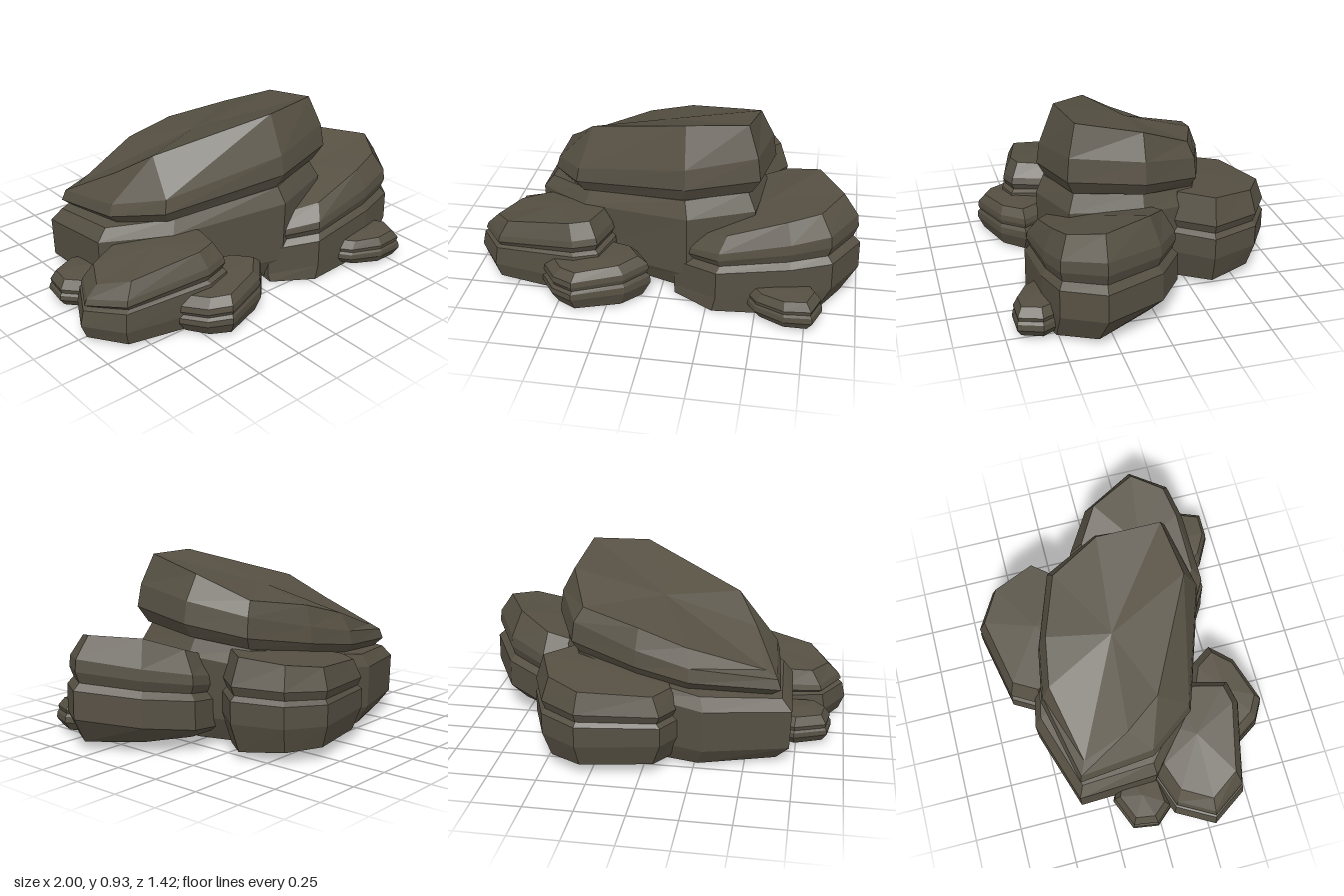
import * as THREE from 'three';

const stone = new THREE.MeshStandardMaterial({ color: 0x565043, flatShading: true, side: THREE.DoubleSide });
stone.name = 'darkStone';

// A layered boulder, open underneath: an outline of corners lofted through levels, bottom to top.
// Each level is [scale, height, tiltX, tiltZ, shiftX, shiftZ]; a ring lies on y = height + tiltX*x + tiltZ*z.
// Each corner is [x, z, lift, moveX, moveZ]; the last three adjust that corner on the top ring only.
function boulder(name, outline, levels) {
  const n = outline.length;
  let area = 0, cx = 0, cz = 0;
  outline.forEach(([x, z], i) => {
    const [x2, z2] = outline[(i + 1) % n];
    area += x * z2 - x2 * z;
    cx += x / n;
    cz += z / n;
  });
  const ring = area > 0 ? outline : [...outline].reverse();

  const pos = [], index = [];
  const put = (x, z, [, h, tx = 0, tz = 0], lift) =>
    pos.push(x, Math.max(0.005, h + tx * x + tz * z + lift), z);
  const last = levels.length - 1;
  levels.forEach((level, k) => {
    const [scale, , , , shiftX = 0, shiftZ = 0] = level;
    const top = k === last ? 1 : 0;
    for (const [x, z, lift = 0, moveX = 0, moveZ = 0] of ring) {
      put(cx + (x - cx) * scale + shiftX + moveX * top,
        cz + (z - cz) * scale + shiftZ + moveZ * top, level, lift * top);
    }
  });
  put(cx, cz, levels[last], 0.012); // slight crown on top

  const crown = levels.length * n;
  for (let i = 0; i < n; i++) {
    const j = (i + 1) % n;
    for (let k = 0; k < last; k++) {
      const a = k * n + i, b = k * n + j;
      index.push(a, a + n, b, b, a + n, b + n);
    }
    index.push(crown, last * n + j, last * n + i);
  }
  const indexed = new THREE.BufferGeometry();
  indexed.setAttribute('position', new THREE.Float32BufferAttribute(pos, 3));
  indexed.setIndex(index);
  const geometry = indexed.toNonIndexed();
  geometry.computeVertexNormals();
  const mesh = new THREE.Mesh(geometry, stone);
  mesh.name = name;
  return mesh;
}

// Levels shared by the pebbles: rounded foot, groove, cap
const pebble = (h, tilt) => [
  [0.82, 0.03], [1, 0.4 * h, tilt * 0.4], [0.98, 0.55 * h, tilt * 0.6],
  [0.92, 0.62 * h, tilt * 0.7], [0.95, 0.74 * h, tilt * 0.8], [0.76, h, tilt],
];

export function createModel() {
  const group = new THREE.Group();
  group.name = 'rockPile';

  // Tall central boulder: broad base under a slanted cap
  group.add(boulder('centralBase',
    [[-0.73, -0.40], [-0.30, -0.54], [0.08, -0.46], [0.41, -0.31], [0.51, 0.0],
      [0.47, 0.37], [0.14, 0.47], [-0.43, 0.27], [-0.715, 0.02]],
    [
      [0.89, 0.028], [0.99, 0.13, 0.04], [1.0, 0.41, 0.1, 0.08], [0.92, 0.49, 0.13, 0.1],
    ]));
  group.add(boulder('centralCap',
    [[-0.67, -0.38, -0.05], [-0.22, -0.48], [0.06, -0.43], [0.41, -0.30, -0.05], [0.54, 0.0, -0.015, -0.01],
      [0.49, 0.38, -0.01], [0.13, 0.46, 0.05, 0.01, -0.03], [-0.47, 0.26, 0.07, 0, -0.13],
      [-0.64, 0.02, 0.01, 0.04, -0.1]],
    [
      [0.92, 0.49, 0.13, 0.1], [1.0, 0.55, 0.14, 0.12], [0.97, 0.64, 0.19, 0.14],
      [0.87, 0.77, 0.25, 0.22],
    ]));

  // Wide boulder at the front left of the model
  group.add(boulder('frontLeftBoulder',
    [[0.07, 0.43], [0.30, 0.57], [0.67, 0.555], [0.87, 0.51, -0.01], [1.0, 0.31, -0.015], [0.84, 0.0, 0.015],
      [0.62, -0.145], [0.3, -0.1], [0.08, 0.15]],
    [
      [0.9, 0.045, 0.03, -0.09, -0.04, 0.03], [1.0, 0.04, 0.14], [0.995, 0.185, 0.14],
      [0.92, 0.21, 0.155], [0.965, 0.24, 0.18], [0.95, 0.265, 0.22], [0.79, 0.315, 0.33, -0.03],
    ]));

  // Boulder at the back
  group.add(boulder('backBoulder',
    [[-0.18, -0.49], [-0.10, -0.63], [0.31, -0.715], [0.50, -0.60], [0.595, -0.35],
      [0.45, -0.17], [0.15, -0.12], [-0.1, -0.25]],
    [
      [0.87, 0.01, 0, -0.09], [1.0, 0.18, 0.02], [1.0, 0.28, 0.04],
      [0.94, 0.3, 0.05], [0.99, 0.34, 0.06], [0.87, 0.475, 0.11, 0.06],
    ]));

  // Broad low boulder at the front right of the model
  group.add(boulder('frontRightBoulder',
    [[-1.0, 0.28, -0.03], [-0.89, 0.08, -0.01], [-0.7, 0.01], [-0.4, 0.02], [-0.25, 0.18], [-0.24, 0.35],
      [-0.29, 0.54], [-0.42, 0.57], [-0.87, 0.47, -0.01]],
    [
      [0.93, 0.025], [1.0, 0.12, 0.02], [0.96, 0.27, 0.1, 0.03],
      [0.89, 0.285, 0.11, 0.04], [0.94, 0.315, 0.13, 0.06], [0.91, 0.35, 0.14, 0.07], [0.77, 0.41, 0.13, 0.11],
    ]));

  // Small stones around the foot
  group.add(boulder('smallFrontRightStone',
    [[-0.60, 0.53], [-0.52, 0.65], [-0.41, 0.71], [-0.15, 0.62], [-0.04, 0.50],
      [-0.12, 0.38], [-0.24, 0.33], [-0.5, 0.38]],
    [
      [0.85, 0.02], [1, 0.1, 0.04], [0.99, 0.14, 0.06], [0.93, 0.16, 0.07],
      [0.97, 0.185, 0.08], [0.95, 0.215, 0.08], [0.78, 0.26, 0.09],
    ]));
  group.add(boulder('smallFrontLeftStone',
    [[0.44, 0.53], [0.50, 0.62], [0.65, 0.70], [0.79, 0.70], [0.835, 0.58], [0.78, 0.48], [0.55, 0.44]],
    pebble(0.12, 0.08)));
  group.add(boulder('smallBackRightStone',
    [[-0.93, -0.02], [-0.91, -0.155], [-0.74, -0.225], [-0.58, -0.15], [-0.6, 0.05], [-0.85, 0.07]],
    pebble(0.19, 0.02)));

  return group;
}
